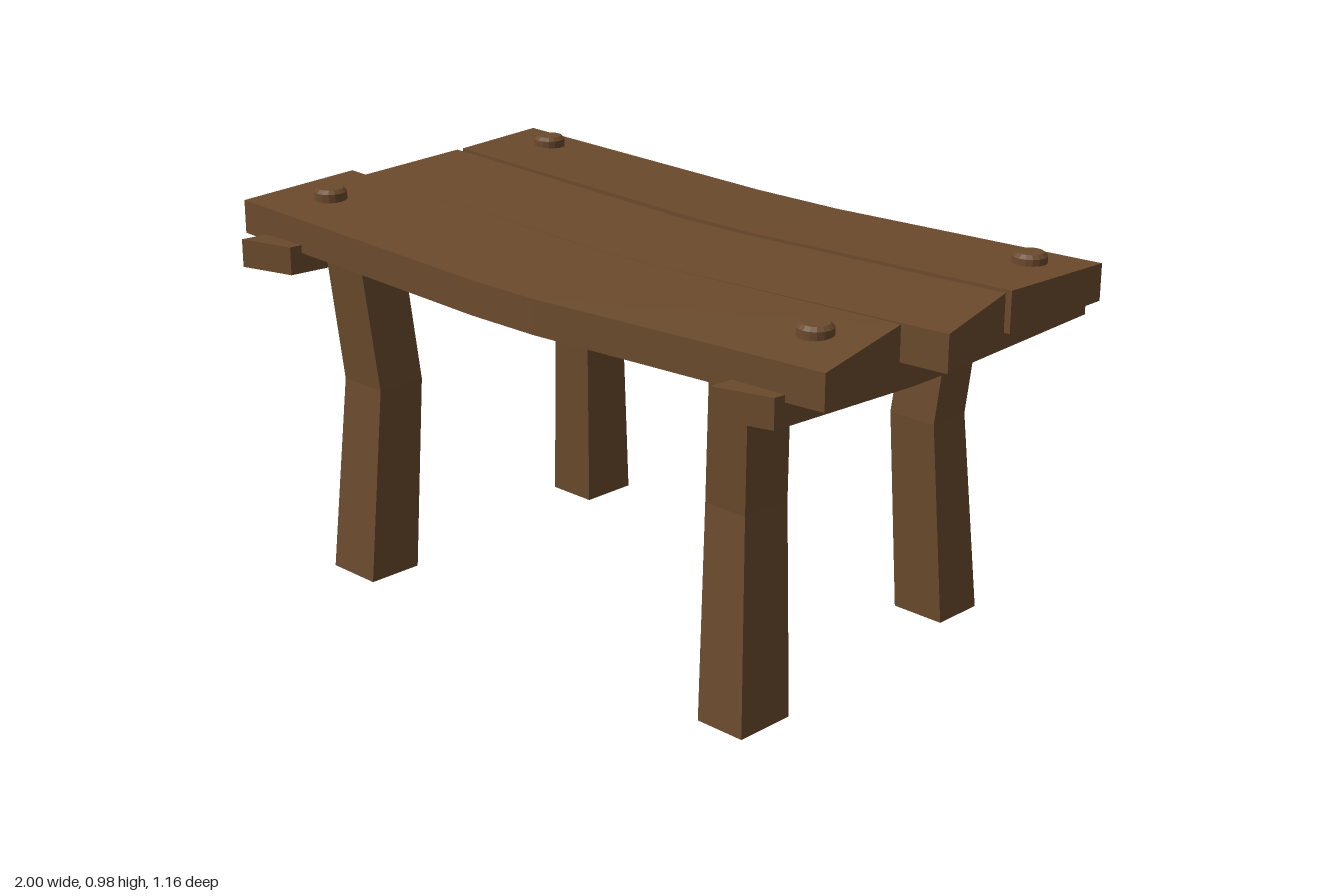
import * as THREE from 'three';

const wood = new THREE.MeshStandardMaterial({ color: 0x6b4a2d, side: THREE.DoubleSide });
wood.name = 'brown wood';

// Skin a row of four-cornered sections with flat faces and optional end caps
function loft(name, sections, capStart = true, capEnd = true) {
  const pos = [];
  const quad = (a, b, c, d) => pos.push(...a, ...b, ...c, ...a, ...c, ...d);
  for (let s = 0; s < sections.length - 1; s++) {
    const a = sections[s], b = sections[s + 1];
    for (let i = 0; i < 4; i++) {
      const j = (i + 1) % 4;
      quad(a[i], b[i], b[j], a[j]);
    }
  }
  if (capStart) quad(...sections[0]);
  if (capEnd) quad(...[...sections[sections.length - 1]].reverse());
  const geo = new THREE.BufferGeometry();
  geo.setAttribute('position', new THREE.Float32BufferAttribute(pos, 3));
  geo.computeVertexNormals();
  const mesh = new THREE.Mesh(geo, wood);
  mesh.name = name;
  return mesh;
}

// Sagging plank: stations are [front x, front z, back x, back z] from -x to +x
function plank(name, stations, topFront, topBack) {
  return loft(name, stations.map(([xf, zf, xb, zb], i) => {
    const sag = i === 0 || i === stations.length - 1 ? 0 : 0.025;
    const bottom = 0.865 - sag;
    return [[xf, bottom, zf], [xf, topFront - sag, zf], [xb, topBack - sag, zb], [xb, bottom, zb]];
  }));
}

// Cross beam under the planks, with a slanted front end
function beam(name, x0, x1, back, frontLeft, frontRight) {
  const section = (z0, z1, y0, y1) => [[x1, y0, z1], [x0, y0, z0], [x0, y1, z0], [x1, y1, z1]];
  return loft(name, [
    section(back, back, 0.808, 0.88),
    section(-0.06, -0.06, 0.79, 0.862),
    section(0.06, 0.06, 0.79, 0.862),
    section(frontLeft, frontRight, 0.808, 0.88),
  ]);
}

// Bent leg, open at the foot: levels are [y, x0, x1, z0, z1]
function leg(name, levels) {
  return loft(name, levels.map(([y, x0, x1, z0, z1]) =>
    [[x0, y, z0], [x1, y, z0], [x1, y, z1], [x0, y, z1]]), false, true);
}

export function createModel() {
  const table = new THREE.Group();
  table.name = 'table';

  // Table top
  table.add(
    plank('frontPlank', [
      [-0.96, 0.505, -0.96, 0.155], [-0.09, 0.505, -0.09, 0.16],
      [0.12, 0.503, 0.12, 0.16], [0.965, 0.48, 0.9, 0.16]], 0.951, 0.965),
    plank('middlePlank', [
      [-0.93, 0.135, -0.93, -0.185], [-0.09, 0.135, -0.09, -0.18],
      [0.12, 0.133, 0.12, -0.18], [0.995, 0.115, 0.925, -0.175]], 0.955, 0.966),
    plank('backPlank', [
      [-0.93, -0.205, -1, -0.53], [-0.09, -0.205, -0.15, -0.545],
      [0.12, -0.203, 0.12, -0.547], [0.925, -0.198, 0.925, -0.545]], 0.966, 0.956),
  );

  // Cross beams
  table.add(
    beam('rightBeam', -0.875, -0.73, -0.56, 0.58, 0.54),
    beam('leftBeam', 0.715, 0.86, -0.585, 0.555, 0.515),
  );

  // Legs, each bending inward at the knee
  table.add(
    leg('frontLeftLeg', [
      [0, 0.565, 0.7, 0.265, 0.425], [0.52, 0.545, 0.665, 0.245, 0.385], [0.862, 0.575, 0.69, 0.27, 0.408]]),
    leg('backLeftLeg', [
      [0, 0.49, 0.635, -0.515, -0.375], [0.52, 0.465, 0.6, -0.48, -0.36], [0.862, 0.495, 0.625, -0.507, -0.387]]),
    leg('frontRightLeg', [
      [0, -0.715, -0.56, 0.31, 0.46], [0.52, -0.68, -0.54, 0.29, 0.425], [0.862, -0.708, -0.572, 0.312, 0.448]]),
    leg('backRightLeg', [
      [0, -0.705, -0.565, -0.475, -0.32], [0.52, -0.67, -0.545, -0.435, -0.3], [0.862, -0.7, -0.577, -0.467, -0.332]]),
  );

  // Round bevelled pegs
  const pegProfile = [[0.042, -0.03], [0.042, 0.016], [0.033, 0.025], [0, 0.025]]
    .map(([r, y]) => new THREE.Vector2(r, y));
  const pegGeo = new THREE.LatheGeometry(pegProfile, 16).toNonIndexed();
  pegGeo.computeVertexNormals();
  for (const [x, z] of [[-0.825, -0.43], [0.8, -0.435], [-0.81, 0.345], [0.795, 0.315]]) {
    const peg = new THREE.Mesh(pegGeo, wood);
    peg.name = 'peg';
    peg.position.set(x, 0.957, z);
    table.add(peg);
  }
  return table;
}
